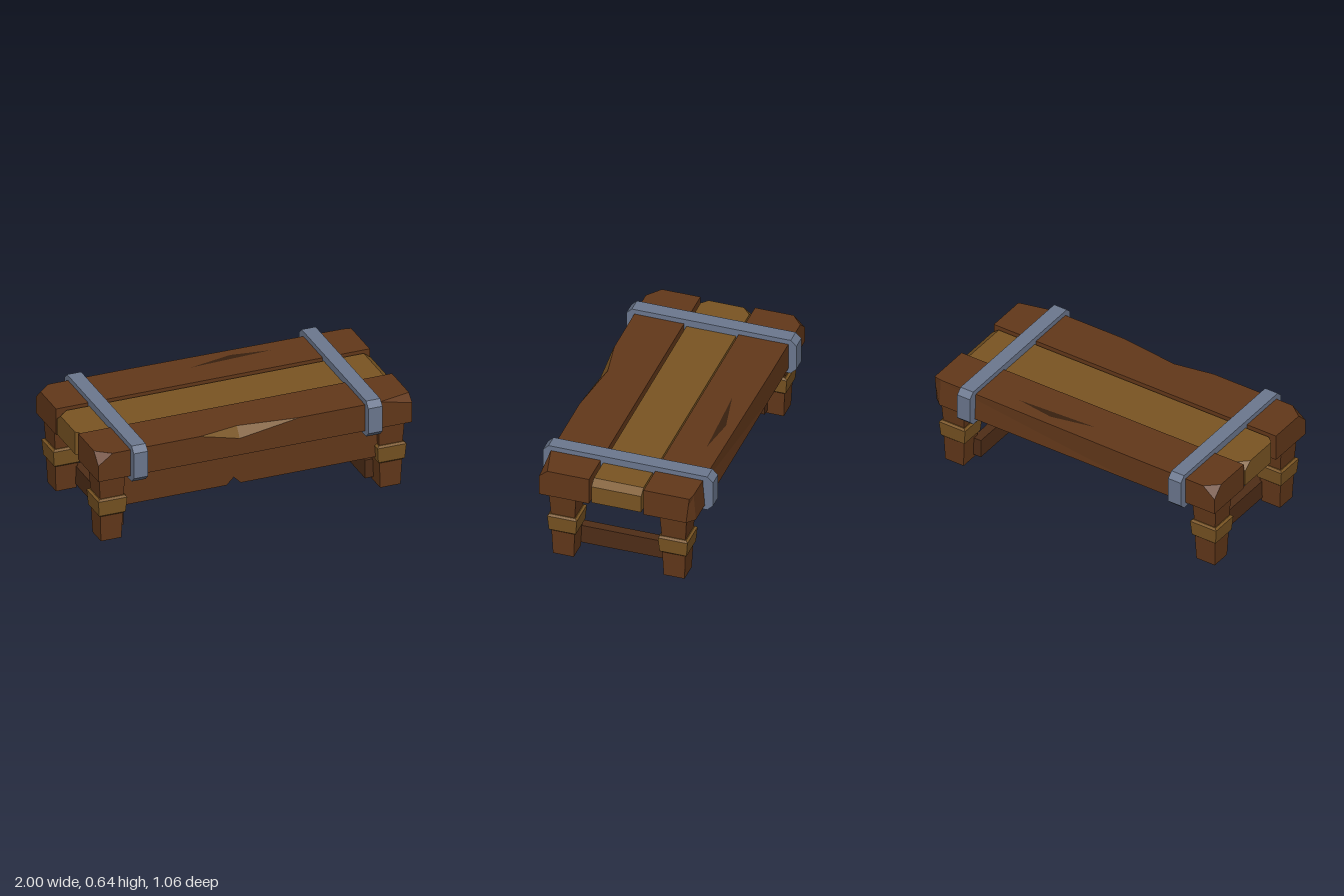
import * as THREE from 'three';
import { ConvexGeometry } from 'three/addons/geometries/ConvexGeometry.js';

const mat = (color) => new THREE.MeshStandardMaterial({ color, flatShading: true });

// Lofts rings of [y, z] points along x; rings run counter-clockwise seen from +x
function loft(sections) {
  const rings = sections.map(([x, ring]) => ring.map(([y, z]) => [x, y, z]));
  const pos = [];
  const tri = (a, b, c) => pos.push(...a, ...b, ...c);
  for (let i = 0; i < rings.length - 1; i++) {
    const p = rings[i], q = rings[i + 1];
    for (let j = 0; j < p.length; j++) {
      const k = (j + 1) % p.length;
      tri(p[j], p[k], q[k]);
      tri(p[j], q[k], q[j]);
    }
  }
  const first = rings[0], last = rings[rings.length - 1];
  for (let j = 1; j < first.length - 1; j++) {
    tri(first[0], first[j + 1], first[j]);
    tri(last[0], last[j], last[j + 1]);
  }
  return triangles(pos);
}

function triangles(pos) {
  const g = new THREE.BufferGeometry();
  g.setAttribute('position', new THREE.Float32BufferAttribute(pos, 3));
  g.computeVertexNormals();
  return g;
}

// Outer plank section: top edge cut back to zTop, front face cut down to yCut
const LOW = 0.435, TOP = 0.608;
const section = (x, zTop = 0.48, yCut = TOP - 0.001, zCut = 0.48, zLow = 0.48) =>
  [x, [[LOW, 0.17], [TOP, 0.17], [TOP, zTop], [yCut, zCut], [LOW, zLow]]];

export function createModel() {
  const group = new THREE.Group();
  const brown = mat(0x63381a), dark = mat(0x4f2d17), gold = mat(0x7a5523);
  const metal = mat(0x6c788f), crackMat = mat(0x38200f);
  const add = (name, geometry, material, x = 0, y = 0, z = 0) => {
    const m = new THREE.Mesh(geometry, material);
    m.name = name;
    m.position.set(x, y, z);
    group.add(m);
    return m;
  };

  // Front plank with chipped corners and a notch in its top edge
  add('frontPlank', loft([
    section(-1, 0.41, 0.54), section(-0.91), section(-0.35),
    section(-0.1, 0.435, 0.545),
    section(0.28), section(0.79), section(1, 0.43, 0.565),
  ]), brown);

  // Exposed wood inside the notch
  const o = 0.0015;
  add('notchWood', triangles([
    -0.35, TOP, 0.48 + o, -0.1, 0.545 + o, 0.48 + o, -0.1, TOP + o, 0.435 + o,
    0.28, TOP, 0.48 + o, -0.1, TOP + o, 0.435 + o, -0.1, 0.545 + o, 0.48 + o,
  ]), gold);

  // Back plank, turned round, with one corner cut off
  add('backPlank', loft([
    section(-1, 0.455, 0.55, 0.448, 0.435), section(-0.95, 0.465, 0.6, 0.466, 0.479),
    section(0.4), section(0.92), section(1, 0.41, 0.54),
  ]), brown).rotation.y = Math.PI;

  // Sliver of a crack on the back plank
  add('plankCrack', triangles([
    -0.07, TOP + o, -0.35, 0.455, TOP + o, -0.375, 0.21, TOP + o, -0.41,
  ]), crackMat);

  // Middle plank with worn ends
  const mid = [
    [1, 0.447, 0.155], [1, 0.447, -0.155], [1, 0.56, 0.155], [1, 0.56, -0.155],
    [0.955, 0.594, 0.155], [0.955, 0.594, -0.155],
    [-1, 0.447, 0.12], [-1, 0.594, 0.12], [-0.96, 0.447, 0.155], [-0.96, 0.594, 0.155],
    [-1, 0.447, -0.155], [-1, 0.55, -0.155], [-1, 0.594, -0.1], [-0.94, 0.594, -0.155],
  ].map((p) => new THREE.Vector3(...p));
  add('middlePlank', new ConvexGeometry(mid), gold);

  // Metal straps with chamfered corners
  const w = 0.53, c = 0.035, y0 = 0.405, y1 = 0.64;
  const strapShape = new THREE.Shape([
    [-w + c, y0], [w - c, y0], [w, y0 + c], [w, y1 - c],
    [w - c, y1], [-w + c, y1], [-w, y1 - c], [-w, y0 + c],
  ].map((p) => new THREE.Vector2(...p)));
  const strapGeo = new THREE.ExtrudeGeometry(strapShape, { depth: 0.09, bevelEnabled: false });
  strapGeo.translate(0, 0, -0.045).rotateY(Math.PI / 2);
  for (const x of [-0.75, 0.745]) add('strap', strapGeo, metal, x);

  // Square tapered legs, each with a collar: profile of [half width, y]
  const square = (profile) => new THREE.LatheGeometry(
    profile.map(([r, y]) => new THREE.Vector2(r * Math.SQRT2, y)), 4)
    .rotateY(Math.PI / 4).toNonIndexed();
  const legGeo = square([[0, 0], [0.065, 0], [0.072, 0.17], [0.074, 0.28], [0.084, 0.436], [0, 0.436]]);
  const collarGeo = square([[0.07, 0.165], [0.084, 0.178], [0.092, 0.275], [0.08, 0.286], [0.07, 0.286]]);
  for (const x of [-0.89, 0.89]) {
    for (const z of [-0.345, 0.345]) {
      add('leg', legGeo, brown, x, 0, z);
      add('legCollar', collarGeo, gold, x, 0, z);
    }
    // Low stretcher joining front and back legs
    add('stretcher', new THREE.BoxGeometry(0.06, 0.12, 0.62), dark, Math.sign(x) * 0.8, 0.085, 0);
  }

  // Front apron with a nick in its lower edge
  const apron = new THREE.Shape([
    [-0.84, 0.2], [-0.145, 0.2], [-0.1, 0.245], [-0.055, 0.2],
    [0.84, 0.2], [0.84, 0.437], [-0.84, 0.437],
  ].map((p) => new THREE.Vector2(...p)));
  add('apron', new THREE.ExtrudeGeometry(apron, { depth: 0.07, bevelEnabled: false }), brown, 0, 0, 0.32);

  return group;
}
